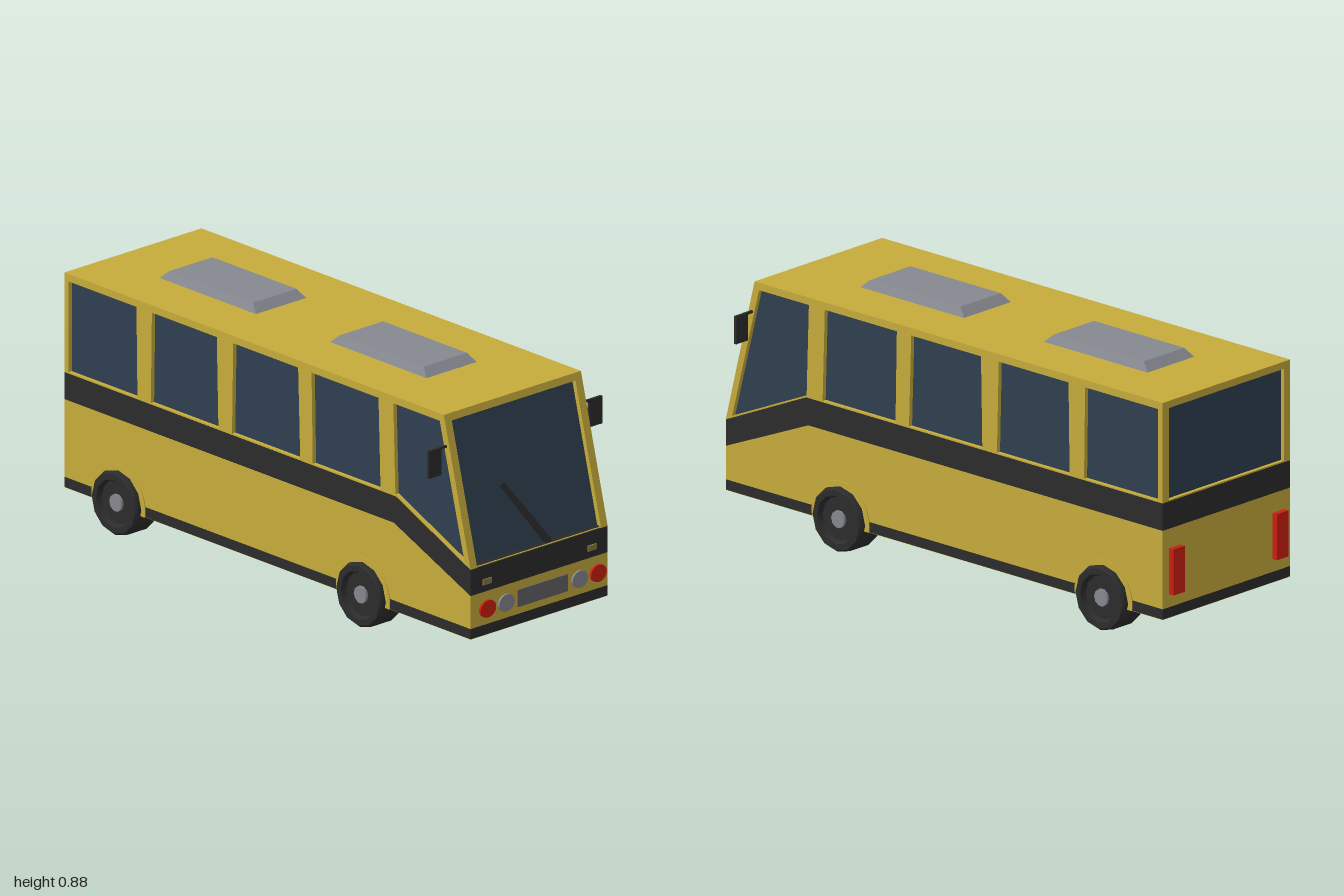
import * as THREE from 'three';
import { toCreasedNormals } from 'three/addons/utils/BufferGeometryUtils.js';

const material = (name, color) => {
  const m = new THREE.MeshStandardMaterial({ color });
  m.name = name;
  return m;
};

export function createModel() {
  const bus = new THREE.Group();
  bus.name = 'bus';

  const yellow = material('yellow paint', 0xc6ac3b);
  const dark = material('dark trim', 0x2c2c2c);
  const glass = material('tinted glass', 0x2f3f50);
  const grey = material('light grey', 0x85888f);
  const grilleGrey = material('grille grey', 0x646368);
  const red = material('red lamp', 0xcc1f10);
  const amber = material('indicator', 0x877b40);

  const add = (name, geometry, mat, x = 0, y = 0, z = 0, parent = bus) => {
    const mesh = new THREE.Mesh(geometry, mat);
    mesh.name = name;
    mesh.position.set(x, y, z);
    parent.add(mesh);
    return mesh;
  };
  const box = (name, w, h, d, mat, x, y, z) =>
    add(name, new THREE.BoxGeometry(w, h, d), mat, x, y, z);

  // Side profiles are given as [z, y] points and extruded across x
  const outline = (points) => new THREE.Shape(points.map(([z, y]) => new THREE.Vector2(z, y)));
  const across = (shape, width) => {
    const g = new THREE.ExtrudeGeometry(shape, { depth: width, bevelEnabled: false });
    return g.translate(0, 0, -width / 2).rotateY(-Math.PI / 2);
  };

  const half = 0.308, width = half * 2, back = -0.98, front = 0.992;

  // Lower body, skirt and floor
  add('lowerBody', across(outline([
    [back, 0.127], [front, 0.127], [front, 0.243], [0.62, 0.4], [back, 0.4],
  ]), width), yellow);
  box('skirt', width, 0.036, front - back, dark, 0, 0.109, (front + back) / 2);
  box('floor', width - 0.008, 0.006, front - back - 0.008, yellow, 0, 0.091, (front + back) / 2);

  // Dark belt that dips toward the nose
  add('belt', across(outline([
    [back, 0.4], [0.62, 0.4], [front, 0.243], [front, 0.335], [0.63, 0.495], [back, 0.495],
  ]), width), dark);

  // Glazed core, slightly recessed behind the window frames
  add('glazing', across(outline([
    [-0.966, 0.46], [0.6, 0.46], [0.979, 0.3], [0.979, 0.32], [0.849, 0.83], [-0.966, 0.83],
  ]), 0.586), glass);

  // Side frames with window openings
  const windows = [
    [[0.842, 0.819], [0.617, 0.819], [0.627, 0.502], [0.963, 0.354]],
    [[0.545, 0.819], [0.22, 0.819], [0.226, 0.5], [0.555, 0.5]],
    [[0.155, 0.819], [-0.16, 0.819], [-0.166, 0.5], [0.165, 0.5]],
    [[-0.24, 0.819], [-0.555, 0.819], [-0.56, 0.5], [-0.232, 0.5]],
    [[-0.63, 0.819], [-0.96, 0.819], [-0.96, 0.5], [-0.625, 0.5]],
  ];
  const frame = outline([[back, 0.495], [0.63, 0.495], [front, 0.335], [0.868, 0.822], [back, 0.822]]);
  frame.holes = windows.map(outline);
  for (const side of [-1, 1]) add('sideFrame', across(frame, 0.03), yellow, side * 0.293);

  // Roof and the sills under the windscreen and rear window
  add('roof', across(outline([[back, 0.82], [0.8685, 0.82], [0.862, 0.845], [back, 0.845]]), width), yellow);
  box('windscreenSill', 0.556, 0.003, 0.02, yellow, 0, 0.3365, 0.98);
  box('rearSill', 0.556, 0.005, 0.016, yellow, 0, 0.4975, -0.972);

  // Roof hatches with sloping sides
  for (const z of [0.333, -0.495]) {
    const hatch = new THREE.BoxGeometry(0.226, 0.028, 0.468);
    const p = hatch.attributes.position;
    for (let i = 0; i < p.count; i++) {
      if (p.getY(i) > 0) p.setXYZ(i, p.getX(i) * 0.86, p.getY(i), p.getZ(i) * 0.87);
    }
    hatch.computeVertexNormals();
    add('roofHatch', hatch, grey, 0, 0.859, z);
  }

  // Wheels: twelve-sided tyres with a dished face and hub, plus arches
  const tyre = toCreasedNormals(new THREE.LatheGeometry([
    [0, -0.049], [0.112, -0.049], [0.112, 0.04], [0.105, 0.049], [0.084, 0.049],
    [0.076, 0.03], [0, 0.03],
  ].map(([r, y]) => new THREE.Vector2(r, y)), 12), 0.6);
  const hub = new THREE.CylinderGeometry(0.03, 0.03, 0.012, 10);
  const arch = new THREE.Shape();
  arch.absarc(0, 0, 0.13, -0.155, Math.PI + 0.155, false);
  for (const z of [0.472, -0.715]) {
    for (const side of [-1, 1]) {
      const wheel = new THREE.Group();
      wheel.name = 'wheel';
      wheel.position.set(side * 0.284, 0.11, z);
      wheel.rotation.z = -side * Math.PI / 2;
      bus.add(wheel);
      add('tyre', tyre, dark, 0, 0, 0, wheel);
      add('hub', hub, grey, 0, 0.034, 0, wheel);
      add('wheelArch', across(arch, 0.006), yellow, side * 0.308, 0.11, z);
    }
  }

  // Front lamps and grille
  const lamp = new THREE.CylinderGeometry(0.035, 0.035, 0.008, 24).rotateX(Math.PI / 2).scale(1, 0.86, 1);
  for (const side of [-1, 1]) {
    add('outerLamp', lamp, red, 0.0135 + side * 0.2485, 0.182, 0.996);
    add('innerLamp', lamp, grey, 0.0135 + side * 0.165, 0.182, 0.996);
    box('indicator', 0.038, 0.02, 0.006, amber, side * 0.236, 0.278, 0.994);
    box('tailLamp', 0.055, 0.16, 0.022, red, side * 0.25, 0.252, -0.989);

    // Door mirrors on thin arms
    box('mirror', 0.057, 0.097, 0.01, dark, side * 0.3615, 0.693, 0.873);
    box('mirrorArm', 0.05, 0.008, 0.008, dark, side * 0.316, 0.738, 0.873);
  }
  box('grille', 0.226, 0.06, 0.006, grilleGrey, 0.0125, 0.183, 0.994);

  // Tapered wiper lying on the sloping windscreen
  const blade = outline([[0.042, 0], [0.074, 0], [-0.094, 0.243], [-0.111, 0.237]]);
  const wiper = add('wiper', new THREE.ExtrudeGeometry(blade, { depth: 0.008, bevelEnabled: false }),
    dark, 0, 0.335, 0.976);
  wiper.rotation.x = -Math.atan2(0.13, 0.51);

  return bus;
}
